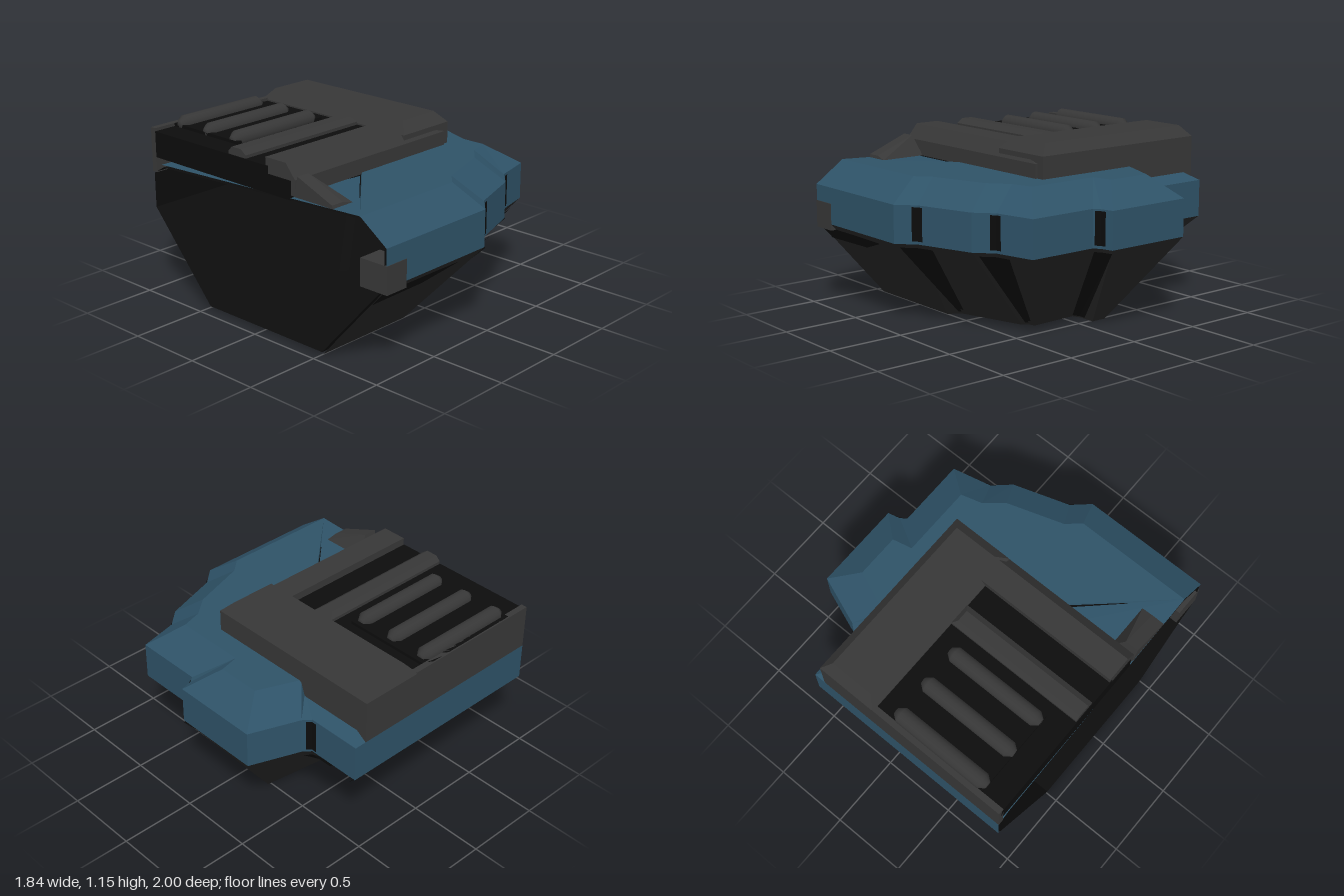
import * as THREE from 'three';

const mat = (name, color, side = THREE.FrontSide) => {
  const m = new THREE.MeshStandardMaterial({ color, side });
  m.name = name;
  return m;
};

// Skin a list of rings; points are [x, y, z], counterclockwise from above.
function loft(rings, { open = false, top = true, bottom = true } = {}) {
  const pos = [];
  const n = rings[0].length;
  for (let r = 0; r + 1 < rings.length; r++) {
    const a = rings[r], b = rings[r + 1];
    for (let i = 0; i < (open ? n - 1 : n); i++) {
      const j = (i + 1) % n;
      pos.push(...a[i], ...a[j], ...b[j], ...a[i], ...b[j], ...b[i]);
    }
  }
  const cap = (ring, flip) => {
    const flat = ring.map(p => new THREE.Vector2(p[0], -p[2]));
    for (const [a, b, c] of THREE.ShapeUtils.triangulateShape(flat, [])) {
      for (const k of flip ? [a, c, b] : [a, b, c]) pos.push(...ring[k]);
    }
  };
  if (top) cap(rings[rings.length - 1], false);
  if (bottom) cap(rings[0], true);
  const g = new THREE.BufferGeometry();
  g.setAttribute('position', new THREE.Float32BufferAttribute(pos, 3));
  g.computeVertexNormals();
  return g;
}

const level = (pts, y) => pts.map(([x, z, h]) => [x, h ?? y, z]);
const rect = (x0, x1, z0, z1, y) => level([[x0, z1], [x1, z1], [x1, z0], [x0, z0]], y);

// Block with vertical walls and a bevelled top; insets are [left, right, back, front].
function bevelBlock([x0, x1], [z0, z1], [y0, y1, y2], [l, r, b, f]) {
  return loft([rect(x0, x1, z0, z1, y0), rect(x0, x1, z0, z1, y1),
    rect(x0 + l, x1 - r, z0 + b, z1 - f, y2)]);
}

// Short corner strip around vertex k of an outline, lifted slightly off the wall.
function cornerRow(pts, k, y, w) {
  const p = new THREE.Vector2(...pts[k]);
  const step = q => {
    const d = new THREE.Vector2(...q).sub(p);
    return d.setLength(Math.min(w, d.length() * 0.9)).add(p);
  };
  const a = step(pts[k - 1]), b = step(pts[k + 1]);
  const out = a.clone().add(b).multiplyScalar(0.5).sub(p).setLength(0.008);
  return [a, p, b].map(v => [v.x + out.x, y, v.y + out.y]);
}

// Plan outlines, [x, z] from the front left round to the back left
const OUTER = [[-0.92, 1], [-0.05, 1], [0.06, 0.9], [0.43, 0.78], [0.54, 0.68], [0.8, 0.62],
  [0.8, 0.16], [0.84, 0.13], [0.92, 0.11], [0.92, -0.48], [0.6, -0.6], [0.55, -0.64],
  [0.55, -1], [-0.92, -1]];
const FOOT = [[-0.92, 0.5], [-0.2, 0.5], [-0.14, 0.42], [0.29, 0.29], [0.32, 0.25], [0.36, 0.24],
  [0.35, -0.08], [0.4, -0.1], [0.52, -0.1], [0.52, -0.2], [0.12, -0.26], [0.06, -0.3],
  [0.06, -0.5], [-0.92, -0.5]];
const DECK = [[-0.92, 0.8], [-0.12, 0.8], [-0.03, 0.72], [0.34, 0.6], [0.46, 0.5], [0.6, 0.46],
  [0.6, 0.02], [0.6, -0.02], [0.73, -0.05], [0.73, -0.34], [0.46, -0.45], [0.45, -0.47, 0.86],
  [0.45, -0.91, 0.86], [-0.92, -0.91, 0.86]];

export function createModel() {
  const model = new THREE.Group();
  const blue = mat('blue armour', 0x2e5267);
  const gray = mat('gray plating', 0x373737);
  const dark = mat('dark hull', 0x262626);
  const black = mat('black lining', 0x0c0c0c, THREE.DoubleSide);
  const add = (name, geometry, material) => {
    const mesh = new THREE.Mesh(geometry, material);
    mesh.name = name;
    model.add(mesh);
    return mesh;
  };

  // Hull: sloping underside, armour belt and deck, open on the inner side
  add('undershell', loft([level(FOOT, 0), level(OUTER, 0.56)], { open: true, top: false }), dark);
  add('armourBelt', loft([level(OUTER, 0.56), level(OUTER, 0.8), level(DECK, 0.94)],
    { open: true, bottom: false }), blue);

  // Dark lining just inside the hull
  const shrink = pts => pts.map(([x, z, h]) => [x < -0.9 ? x : x - 0.015, z * 0.985, h && h - 0.015]);
  add('hullLining', loft([level(shrink(FOOT), 0.012), level(shrink(OUTER), 0.56),
    level(shrink(OUTER), 0.79), level(shrink(DECK), 0.925)], { open: true }), black);

  // Dark seams in the inward corners of the belt and underside
  for (const [k, wTop, wFoot] of [[2, 0.11, 0.02], [4, 0.1, 0.02], [7, 0.14, 0.05], [11, 0.15, 0.05]]) {
    const bare = { open: true, top: false, bottom: false };
    add('beltSeam', loft([cornerRow(OUTER, k, 0.58, 0.035), cornerRow(OUTER, k, 0.79, 0.035)], bare), black);
    add('undersideSeam', loft([cornerRow(FOOT, k, 0.01, wFoot), cornerRow(OUTER, k, 0.54, wTop)], bare), black);
  }

  // Slots on the front and back slopes of the underside
  const slope = (x, y, s) => [x, y, s * (0.506 + 0.5 * y / 0.56)];
  const bare = { open: true, top: false, bottom: false };
  add('frontSlot', loft([[slope(-0.92, 0.43, 1), slope(-0.5, 0.44, 1), slope(-0.26, 0.515, 1)],
    [slope(-0.92, 0.525, 1), slope(-0.5, 0.525, 1), slope(-0.26, 0.52, 1)]], bare), black);
  add('backSlot', loft([[slope(0.42, 0.35, -1), slope(-0.88, 0.35, -1)],
    [slope(0.46, 0.46, -1), slope(-0.88, 0.46, -1)]], bare), black);

  // Superstructure: side rail, front wall, cross bar and back wall
  add('sideRail', bevelBlock([0.05, 0.47], [-1, 0.27], [0.8, 1.08, 1.15], [0.06, 0.06, 0.06, 0.07]), gray);
  add('frontWall', bevelBlock([-0.915, 0.42], [0.04, 0.285], [0.93, 1.03, 1.12], [0, 0.33, 0, 0.075]), gray);
  add('crossBar', bevelBlock([-0.915, 0.05], [-0.28, -0.13], [0.95, 1.09, 1.12], [0, 0.03, 0.03, 0.04]), gray);
  add('backWall', bevelBlock([-0.92, 0.06], [-1, -0.96], [0.8, 1.08, 1.09], [0, 0, 0, 0]), gray);

  // Recessed dark deck behind and beneath the bars
  add('engineDeck', bevelBlock([-0.92, 0.06], [-0.975, 0.06], [0.9, 1.06, 1.07], [0, 0, 0, 0]), black);
  add('innerFill', bevelBlock([-0.92, 0.3], [0.05, 0.25], [0.9, 1.0, 1.02], [0, 0, 0, 0]), black);
  add('grilleFrame', bevelBlock([-0.76, -0.03], [-0.99, -0.37], [1.05, 1.085, 1.09], [0, 0, 0, 0]), black);

  // Rounded grille bars with tapered ends
  const barProfile = [[0, -0.35], [0.025, -0.35], [0.055, -0.31], [0.055, 0.31], [0.025, 0.35], [0, 0.35]]
    .map(p => new THREE.Vector2(...p));
  for (const z of [-0.91, -0.665, -0.42]) {
    const bar = add('grilleBar', new THREE.LatheGeometry(barProfile, 12), gray);
    bar.rotation.z = Math.PI / 2;
    bar.position.set(-0.41, 1.088, z);
  }

  // Wedge on the front deck and small block on the belt
  add('deckWedge', loft([
    rect(-0.92, -0.755, 0.28, 0.59, 0.93),
    level([[-0.92, 0.59, 0.945], [-0.83, 0.59, 0.945], [-0.755, 0.41, 0.99], [-0.755, 0.28, 1.0]], 0)
      .map((p, i) => [p, p, p, p][i]),
    level([[-0.92, 0.585, 0.95], [-0.83, 0.585, 0.95], [-0.83, 0.31, 1.06], [-0.92, 0.31, 1.06]], 0),
  ].filter((_, i) => i !== 1)), gray);
  add('beltBlock', bevelBlock([-0.92, -0.755], [0.8, 1.004], [0.52, 0.69, 0.695], [0, 0, 0, 0]), gray);

  return model;
}
